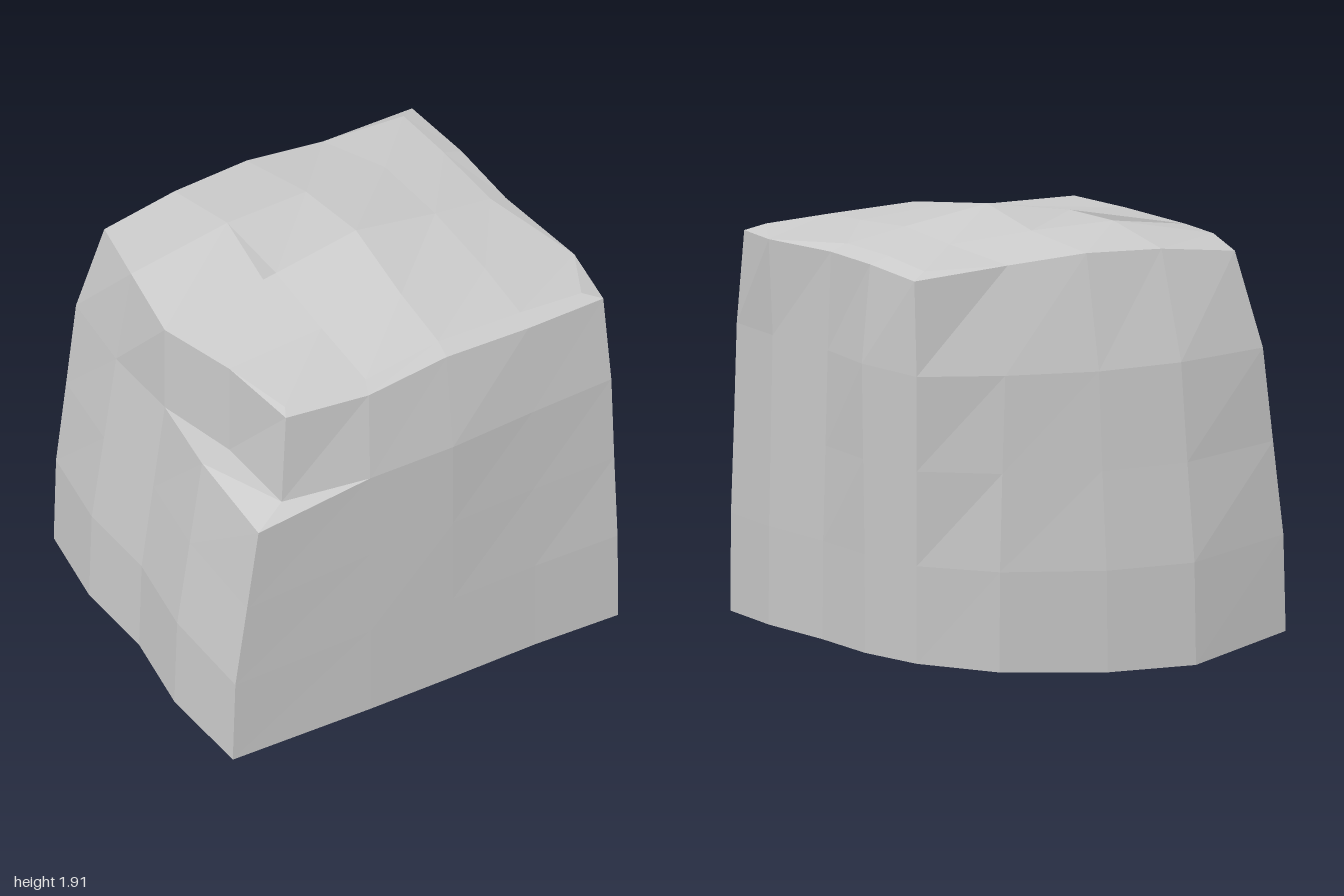
import * as THREE from 'three';

// Outlines run counter-clockwise from the front -x corner, four steps per side: [x, y, z]
const base = [
  [-1, .09, .93], [-.3, .08, .925], [.12, .08, .92], [.54, .08, .91],
  [.96, .07, .91], [.99, .07, .5], [.97, .07, .04], [.98, .07, -.37],
  [.95, .08, -.79], [.6, .03, -.89], [.1, 0, -.94], [-.33, 0, -.94],
  [-.84, .09, -.8], [-.92, .09, -.38], [-.92, .09, .03], [-1, .09, .45]];
const shoulder = [
  [-.87, 1.27, .93], [-.3, 1.33, .92], [.12, 1.33, .92], [.54, 1.33, .89],
  [.95, 1.33, .87], [.97, 1.33, .5], [.95, 1.33, .03], [.99, 1.33, -.36],
  [.95, 1.33, -.79], [.54, 1.31, -.83], [.1, 1.3, -.86], [-.3, 1.31, -.86],
  [-.74, 1.33, -.78], [-.79, 1.33, -.37], [-.79, 1.33, .03], [-.86, 1.33, .45]];
const rim = [
  [-.67, 1.75, .83], [-.27, 1.73, .86], [.13, 1.77, .85], [.55, 1.75, .84],
  [.94, 1.74, .82], [.99, 1.75, .5], [.94, 1.76, .02], [.95, 1.76, -.36],
  [.94, 1.74, -.75], [.47, 1.77, -.72], [.1, 1.8, -.745], [-.27, 1.79, -.735],
  [-.64, 1.75, -.71], [-.72, 1.77, -.36], [-.79, 1.75, .03], [-.71, 1.77, .43]];

function createModel() {
  const pos = [];
  const tri = (a, b, c) => pos.push(...a, ...b, ...c);
  const quad = (a, b, c, d) => { tri(a, b, c); tri(a, c, d); };
  const mix = t => base.map((p, i) => p.map((v, k) => v + (shoulder[i][k] - v) * t[k]));

  // Ledge: the shoulder ring steps inwards at the broken-off front corner
  const inner = shoulder.map(p => [...p]);
  inner[0] = [-.71, 1.33, .86];
  inner[15] = [-.71, 1.33, .43];

  // Chipped bevel along the front and +x edges of the top
  const bevel = rim.map(p => [...p]);
  bevel[0] = [-.65, 1.775, .79];
  bevel[1] = [-.25, 1.77, .80];
  bevel[2] = [.13, 1.81, .78];
  bevel[3] = [.55, 1.79, .77];
  bevel[4] = [.86, 1.77, .77];
  bevel[6] = [.86, 1.79, .02];
  bevel[7] = [.86, 1.79, -.36];
  bevel[8] = [.86, 1.77, -.69];

  // Side walls
  const rings = [base, mix([.1, .34, .1]), mix([.55, .67, .6]), shoulder, inner, rim, bevel];
  for (let r = 0; r < rings.length - 1; r++) {
    const lo = rings[r], hi = rings[r + 1];
    for (let i = 0; i < 16; i++) {
      const n = (i + 1) % 16;
      const same = (a, b) => a.every((v, k) => v === b[k]);
      if (same(lo[i], hi[i]) && same(lo[n], hi[n])) continue;
      quad(lo[i], lo[n], hi[n], hi[i]);
    }
  }

  // Underside
  for (let i = 0; i < 16; i++) tri([0, .07, 0], base[(i + 1) % 16], base[i]);

  // Domed top, rows from front to back
  const top = [
    bevel.slice(0, 5),
    [bevel[15], [-.25, 1.81, .44], [.14, 1.85, .46], [.57, 1.81, .45], bevel[5]],
    [bevel[14], [-.24, 1.85, .05], [.17, 1.91, .04], [.57, 1.84, .04], bevel[6]],
    [bevel[13], [-.24, 1.86, -.35], [.17, 1.85, -.37], [.57, 1.82, -.37], bevel[7]],
    [12, 11, 10, 9, 8].map(i => bevel[i])];
  for (let j = 0; j < 4; j++) {
    for (let i = 0; i < 4; i++) {
      const a = top[j][i], b = top[j][i + 1], c = top[j + 1][i + 1], d = top[j + 1][i];
      if (j === 2 && i === 0) {
        // Sunken cell with two small step walls
        const p = [-.27, 1.77, .04];
        quad(a, p, c, d);
        tri(b, p, a);
        tri(c, p, b);
      } else quad(a, b, c, d);
    }
  }

  const geometry = new THREE.BufferGeometry();
  geometry.setAttribute('position', new THREE.Float32BufferAttribute(pos, 3));
  geometry.computeVertexNormals();
  const block = new THREE.Mesh(geometry,
    new THREE.MeshStandardMaterial({ color: 0xcccccc, flatShading: true }));
  block.name = 'stoneBlock';
  const group = new THREE.Group();
  group.name = 'chippedStone';
  group.add(block);
  return group;
}

export { createModel };
